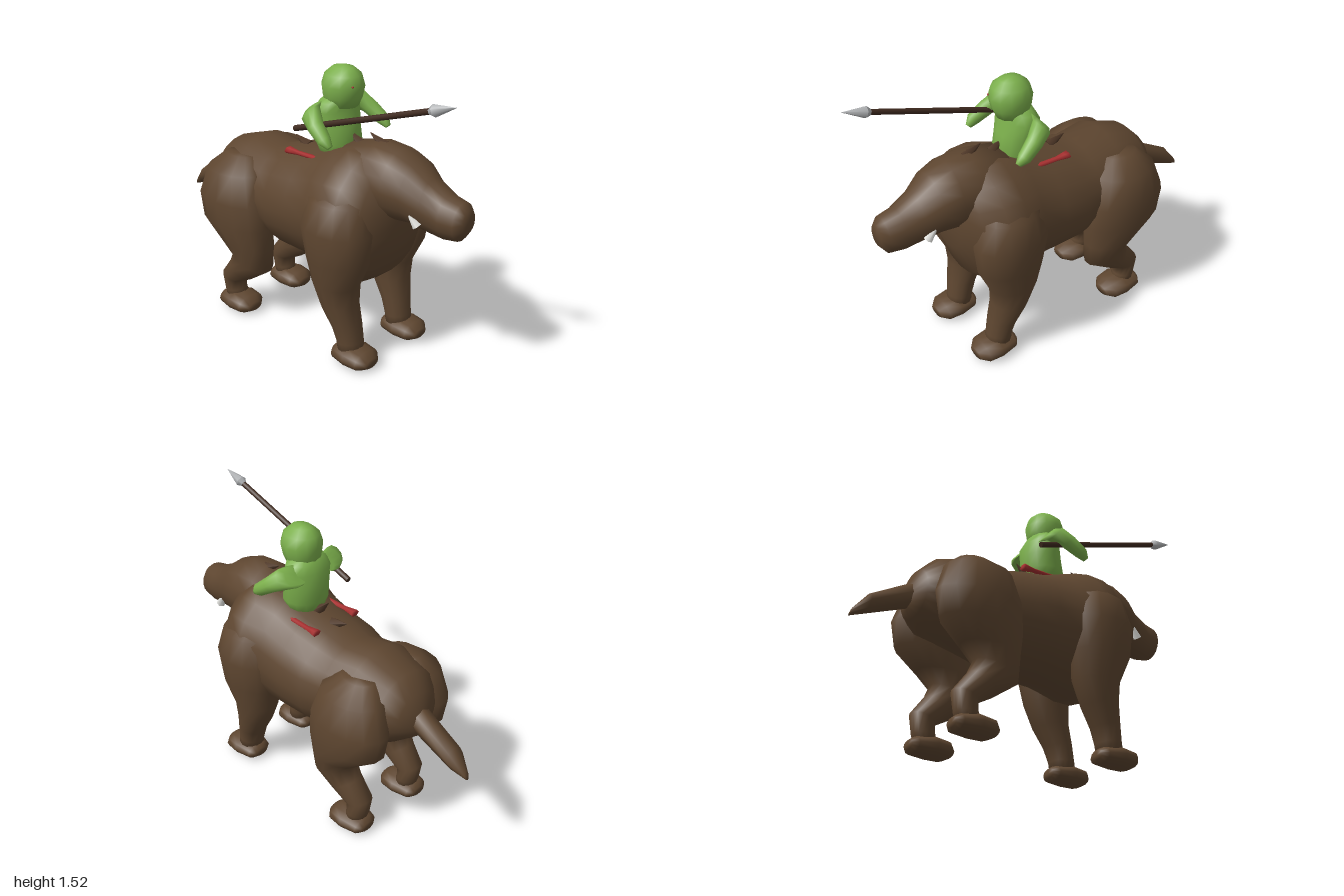
import * as THREE from 'three';

const mat = (name, color) => {
  const m = new THREE.MeshStandardMaterial({ color });
  m.name = name;
  return m;
};

// Closed skin through elliptical rings [x, y, z, halfWidth, halfDepth, tilt in degrees].
// Tilt 0 travels to +z, 90 down, 180 to -z, -90 up.
function loft(rings, segs = 14) {
  const pos = [], idx = [], n = rings.length;
  for (const [x, y, z, a, b, tilt = 0] of rings) {
    const t = THREE.MathUtils.degToRad(tilt);
    for (let i = 0; i < segs; i++) {
      const p = (i / segs) * Math.PI * 2;
      const v = b * Math.sin(p);
      pos.push(x + a * Math.cos(p), y + v * Math.cos(t), z + v * Math.sin(t));
    }
  }
  for (let r = 0; r < n - 1; r++) {
    for (let i = 0; i < segs; i++) {
      const j = (i + 1) % segs, a = r * segs, b = a + segs;
      idx.push(a + i, a + j, b + j, a + i, b + j, b + i);
    }
  }
  // end caps
  const first = n * segs, last = first + 1;
  pos.push(...rings[0].slice(0, 3), ...rings[n - 1].slice(0, 3));
  for (let i = 0; i < segs; i++) {
    const j = (i + 1) % segs, e = (n - 1) * segs;
    idx.push(first, j, i, last, e + i, e + j);
  }
  const g = new THREE.BufferGeometry();
  g.setAttribute('position', new THREE.Float32BufferAttribute(pos, 3));
  g.setIndex(idx);
  g.computeVertexNormals();
  return g;
}

// Rod or cone from point a (radius ra) to point b (radius rb)
function rod(a, b, ra, rb, sides) {
  const A = new THREE.Vector3(...a), B = new THREE.Vector3(...b);
  const d = B.clone().sub(A);
  const g = new THREE.CylinderGeometry(rb, ra, d.length(), sides);
  g.applyQuaternion(new THREE.Quaternion().setFromUnitVectors(new THREE.Vector3(0, 1, 0), d.normalize()));
  const c = A.add(B).multiplyScalar(0.5);
  return g.translate(c.x, c.y, c.z);
}

export function createModel() {
  const root = new THREE.Group();
  root.name = 'beastAndRider';
  const fur = mat('brownHide', 0x5e4630);
  const spine = mat('darkBrownSpine', 0x523a29);
  const skin = mat('greenSkin', 0x7cb04c);
  const red = mat('redCloth', 0xa83030);
  const ivory = mat('ivory', 0xe4e4e0);
  const wood = mat('darkWood', 0x402b20);
  const steel = mat('steel', 0xb4b6b8);
  const add = (name, geo, m, parent = root) => {
    const mesh = new THREE.Mesh(geo, m);
    mesh.name = name;
    parent.add(mesh);
    return mesh;
  };

  const beast = new THREE.Group();
  beast.name = 'beast';
  const rider = new THREE.Group();
  rider.name = 'rider';
  root.add(beast, rider);

  // Trunk, rump to chest
  add('body', loft([
    [0, 0.74, -0.69, 0.06, 0.07], [0, 0.77, -0.65, 0.14, 0.13], [0, 0.78, -0.57, 0.22, 0.2],
    [0, 0.79, -0.38, 0.27, 0.25], [0, 0.76, -0.22, 0.27, 0.255], [0, 0.76, -0.1, 0.305, 0.29],
    [0, 0.77, 0.05, 0.315, 0.305], [0, 0.79, 0.2, 0.32, 0.335], [0, 0.79, 0.32, 0.37, 0.37],
    [0, 0.79, 0.43, 0.36, 0.37], [0, 0.8, 0.53, 0.27, 0.3], [0, 0.84, 0.595, 0.14, 0.16],
  ], 20), fur, beast);

  // Neck, skull and muzzle
  add('head', loft([
    [0, 0.97, 0.26, 0.2, 0.18], [0, 1.0, 0.45, 0.185, 0.195], [0, 1.0, 0.58, 0.18, 0.185],
    [0, 0.985, 0.68, 0.16, 0.16], [0, 0.94, 0.77, 0.12, 0.135], [0, 0.908, 0.87, 0.102, 0.115],
    [0, 0.905, 0.95, 0.09, 0.1], [0, 0.915, 0.985, 0.05, 0.06],
  ], 16), fur, beast);

  add('tail', loft([
    [0, 0.78, -0.6, 0.065, 0.07, 180], [0, 0.75, -0.69, 0.065, 0.07, 180],
    [0, 0.645, -0.91, 0.06, 0.058, 190], [0, 0.58, -0.99, 0.015, 0.025, 200],
  ], 8), fur, beast);

  for (const s of [1, -1]) {
    const side = s > 0 ? 'left' : 'right';
    const mirror = (rings) => rings.map(([x, ...rest]) => [x * s, ...rest]);
    const foot = (z) => loft(mirror([
      [0.205, 0.055, z - 0.12, 0.045, 0.025], [0.205, 0.055, z - 0.095, 0.08, 0.044],
      [0.205, 0.06, z, 0.105, 0.055], [0.205, 0.055, z + 0.08, 0.095, 0.05],
      [0.205, 0.05, z + 0.12, 0.05, 0.025],
    ]), 12);

    // Front leg with shoulder
    add(side + 'FrontLeg', loft(mirror([
      [0.18, 1.0, 0.36, 0.08, 0.1, 90], [0.21, 0.92, 0.36, 0.15, 0.17, 90],
      [0.235, 0.77, 0.36, 0.155, 0.21, 90], [0.23, 0.6, 0.365, 0.14, 0.185, 90],
      [0.22, 0.45, 0.345, 0.115, 0.135, 90], [0.215, 0.33, 0.37, 0.1, 0.103, 80],
      [0.205, 0.22, 0.41, 0.085, 0.078, 80], [0.2, 0.13, 0.43, 0.075, 0.07, 85],
      [0.2, 0.06, 0.44, 0.075, 0.07, 90],
    ])), fur, beast);
    add(side + 'FrontFoot', foot(0.465), fur, beast);

    // Hind leg with haunch
    add(side + 'HindLeg', loft(mirror([
      [0.17, 0.96, -0.4, 0.07, 0.1, 90], [0.205, 0.88, -0.4, 0.14, 0.19, 90],
      [0.225, 0.72, -0.4, 0.15, 0.245, 90], [0.225, 0.58, -0.385, 0.145, 0.235, 90],
      [0.215, 0.46, -0.325, 0.125, 0.165, 95], [0.21, 0.36, -0.29, 0.1, 0.13, 110],
      [0.205, 0.28, -0.37, 0.085, 0.09, 125], [0.2, 0.2, -0.46, 0.072, 0.07, 110],
      [0.2, 0.12, -0.45, 0.065, 0.06, 85], [0.2, 0.06, -0.43, 0.065, 0.06, 90],
    ])), fur, beast);
    add(side + 'HindFoot', foot(-0.41), fur, beast);

    add(side + 'Tusk', rod([s * 0.108, 0.86, 0.765], [s * 0.128, 0.94, 0.705], 0.026, 0.002, 6), ivory, beast);

    // Rider's red leg wrap lying along the back
    add(side + 'RedStrap', loft(mirror([
      [0.14, 1.05, -0.07, 0.03, 0.018], [0.14, 1.05, -0.045, 0.024, 0.016],
      [0.14, 1.05, 0.0, 0.016, 0.011], [0.135, 1.052, 0.17, 0.018, 0.011],
      [0.135, 1.055, 0.21, 0.024, 0.016],
    ]), 6), red, rider);

    // Rider's arm, shoulder to fist
    add(side + 'Arm', loft(mirror([
      [0.1, 1.3, 0.09, 0.03, 0.04, 40], [0.13, 1.31, 0.1, 0.06, 0.062, 40],
      [0.175, 1.305, 0.125, 0.052, 0.06, 40], [0.21, 1.26, 0.19, 0.045, 0.045, 45],
      [0.228, 1.205, 0.265, 0.036, 0.036, 45], [0.225, 1.175, 0.3, 0.016, 0.016, 45],
    ]), 10), skin, rider);
  }

  // Back spines: base z, base y, tip z, tip y
  [[0.47, 1.165, 0.37, 1.215], [0.31, 1.14, 0.24, 1.19], [0.07, 1.065, -0.015, 1.15], [-0.05, 1.04, -0.15, 1.08]]
    .forEach(([z0, y0, z1, y1], i) =>
      add('spine' + (i + 1), rod([0, y0, z0], [0, y1, z1], 0.034, 0.002, 5), spine, beast));

  // Rider's trunk and head
  add('torso', loft([
    [0, 1.06, 0.16, 0.1, 0.09, -90], [0, 1.13, 0.16, 0.13, 0.115, -90],
    [0, 1.22, 0.15, 0.128, 0.11, -90], [0, 1.3, 0.145, 0.145, 0.095, -90],
    [0, 1.345, 0.155, 0.12, 0.08, -90], [0, 1.38, 0.17, 0.07, 0.07, -90],
  ]), skin, rider);
  add('riderHead', loft([
    [0, 1.32, 0.18, 0.08, 0.085, -90], [0, 1.37, 0.182, 0.1, 0.105, -90],
    [0, 1.43, 0.185, 0.11, 0.115, -90], [0, 1.485, 0.185, 0.092, 0.1, -90],
    [0, 1.52, 0.185, 0.05, 0.06, -90], [0, 1.53, 0.185, 0.015, 0.02, -90],
  ], 12), skin, rider);
  add('eye', new THREE.SphereGeometry(0.006, 6, 4).translate(-0.045, 1.44, 0.287), red, rider);

  // Spear held level on the right
  const at = (t) => [-0.18, 1.2 + 0.325 * t, 0.02 + 0.98 * t];
  add('spearShaft', rod(at(0), at(0.9), 0.016, 0.015, 8), wood, rider);
  add('spearPoint', rod(at(0.88), at(1), 0.031, 0.001, 6), steel, rider);
  add('spearSocket', rod(at(0.855), at(0.88), 0.016, 0.031, 6), steel, rider);

  return root;
}
